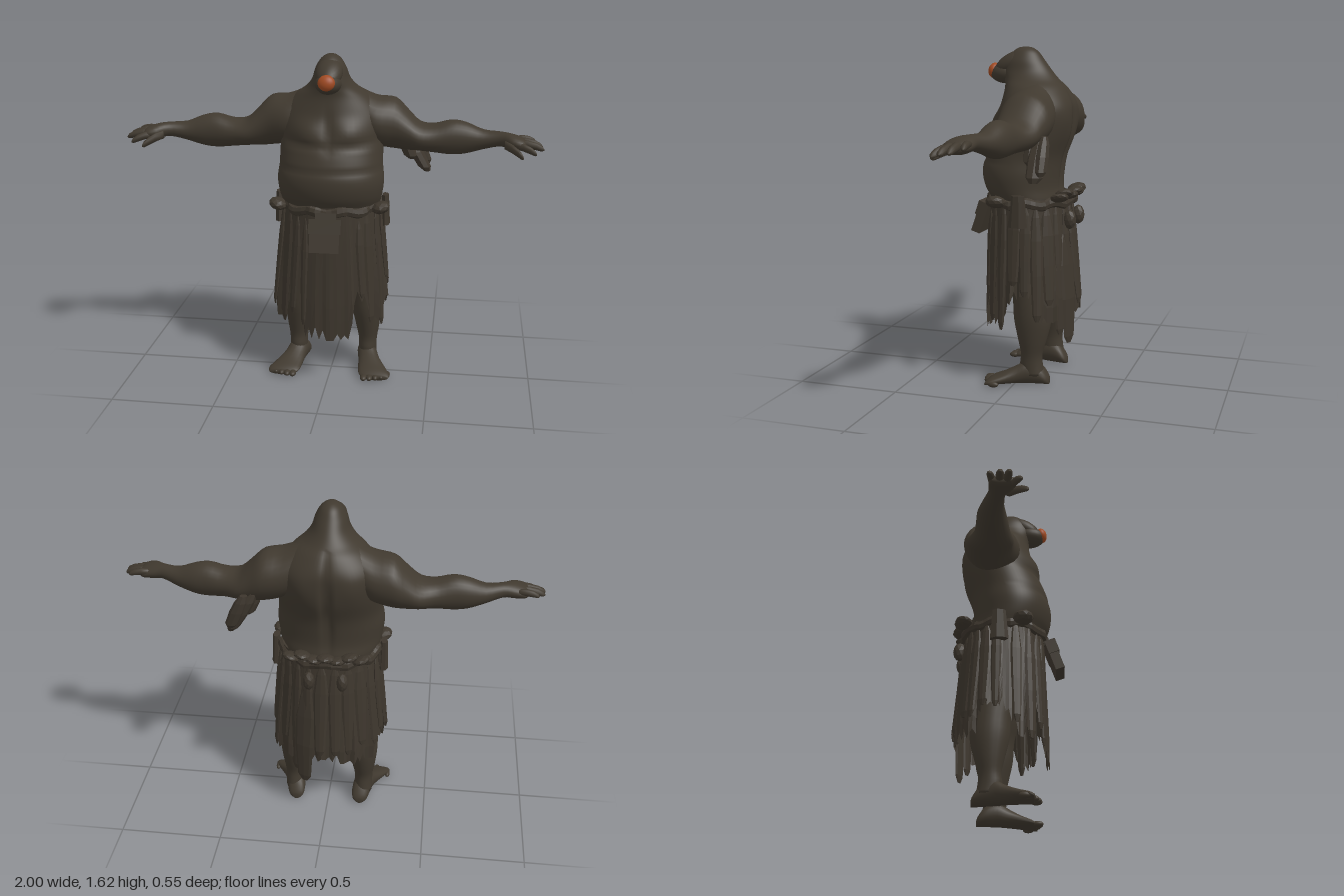
import * as THREE from 'three';

const mat = (name, color, extra = {}) => Object.assign(new THREE.MeshStandardMaterial({ color, ...extra }), { name });
const V = (x, y, z) => new THREE.Vector3(x, y, z);
const bump = (d, w) => Math.exp(-((d / w) ** 2));

// Piecewise-linear lookup in [[key, value], ...]
function lookup(table, k) {
  for (let i = 1; i < table.length; i++) {
    const [a, va] = table[i - 1], [b, vb] = table[i];
    if (k <= b) return va + (vb - va) * (k - a) / (b - a);
  }
  return table[table.length - 1][1];
}

// Catmull-Rom refinement of rows of numbers
function refine(rows, n) {
  const out = [];
  for (let i = 0; i < rows.length - 1; i++) {
    const p = [rows[Math.max(0, i - 1)], rows[i], rows[i + 1], rows[Math.min(rows.length - 1, i + 2)]];
    for (let k = 0; k < n; k++) {
      const t = k / n;
      out.push(rows[i].map((_, c) => {
        const [a, b, d, e] = p.map(r => r[c]);
        return 0.5 * (2 * b + (d - a) * t + (2 * a - 5 * b + 4 * d - e) * t * t + (3 * b - a - 3 * d + e) * t ** 3);
      }));
    }
  }
  return [...out, rows[rows.length - 1]];
}

// Skin through closed rings; side = -1 mirrors in x
function loft(name, material, rows, ringPoint, seg = 20, side = 1) {
  const pos = [], idx = [];
  const tri = (a, b, c) => side > 0 ? idx.push(a, b, c) : idx.push(a, c, b);
  for (const row of rows) {
    for (let j = 0; j < seg; j++) {
      const p = ringPoint(row, j / seg * Math.PI * 2);
      pos.push(p.x * side, p.y, p.z);
    }
  }
  for (let i = 0; i < rows.length - 1; i++) {
    for (let j = 0; j < seg; j++) {
      const a = i * seg + j, b = i * seg + (j + 1) % seg;
      tri(a, b, a + seg);
      tri(b, b + seg, a + seg);
    }
  }
  // End caps
  for (const r of [0, rows.length - 1]) {
    const c = [0, 0, 0];
    for (let j = 0; j < seg; j++) for (let k = 0; k < 3; k++) c[k] += pos[(r * seg + j) * 3 + k] / seg;
    const ci = pos.length / 3;
    pos.push(...c);
    for (let j = 0; j < seg; j++) {
      const a = r * seg + j, b = r * seg + (j + 1) % seg;
      r ? tri(a, b, ci) : tri(b, a, ci);
    }
  }
  const g = new THREE.BufferGeometry();
  g.setAttribute('position', new THREE.Float32BufferAttribute(pos, 3));
  g.setIndex(idx);
  g.computeVertexNormals();
  const m = new THREE.Mesh(g, material);
  m.name = name;
  return m;
}

// Ring rules: along y [y, cx, halfWidth, zFront, zBack], along x [x, yTop, yBottom, zFront, zBack], along z [z, cx, halfWidth, yTop]
const ringY = ([y, cx, w, f, b], a) => V(cx + Math.sin(a) * w, y, (f + b) / 2 + Math.cos(a) * (f - b) / 2);
const ringX = ([x, t, u, f, b], a) => V(x, (t + u) / 2 + Math.cos(a) * (t - u) / 2, (f + b) / 2 + Math.sin(a) * (f - b) / 2);
const ringZ = ([z, cx, w, t], a) => V(cx + Math.cos(a) * w, t / 2 + Math.sin(a) * t / 2, z);

export function createModel() {
  const group = new THREE.Group();
  group.name = 'figure';
  const skin = mat('skin', 0x40392f);
  const cloth = mat('cloth', 0x3d362d, { flatShading: true, side: THREE.DoubleSide });
  const noseMat = mat('nose orange', 0xa04a22);
  let seed = 11;
  const rnd = () => (seed = (seed * 16807) % 2147483647) / 2147483647;
  const add = (name, geo, m, p, s = [1, 1, 1], r = [0, 0, 0]) => {
    const o = new THREE.Mesh(geo, m);
    o.name = name;
    o.position.set(...p); o.scale.set(...s); o.rotation.set(...r);
    group.add(o);
  };

  // Torso, neck and head in one skin
  const torso = [
    [0.82, 0, 0.21, 0.14, -0.18], [0.89, 0, 0.235, 0.165, -0.18], [0.95, 0, 0.25, 0.198, -0.17],
    [1.02, 0, 0.258, 0.212, -0.175], [1.1, 0, 0.25, 0.2, -0.19], [1.2, 0, 0.25, 0.165, -0.225],
    [1.3, 0, 0.255, 0.13, -0.235], [1.36, 0, 0.23, 0.115, -0.228], [1.42, 0, 0.175, 0.105, -0.195],
    [1.46, 0, 0.122, 0.11, -0.155], [1.5, 0, 0.09, 0.12, -0.122], [1.55, 0, 0.073, 0.11, -0.085],
    [1.59, 0, 0.05, 0.075, -0.055], [1.61, 0, 0.025, 0.045, -0.025], [1.615, 0, 0.006, 0.02, 0]];
  group.add(loft('torsoAndHead', skin, refine(torso, 5), (row, a) => {
    const p = ringY(row, a);
    if (row[0] > 1.45) return p;
    const x = Math.abs(p.x), y = p.y;
    if (p.z > 0) {
      p.z += 0.02 * bump(x - 0.1, 0.07) * bump(y - 1.265, 0.05); // chest
      p.z -= 0.014 * bump(x, 0.02) * bump(y - 1.27, 0.08);
      p.z -= 0.012 * bump(y - 1.19 - x * 0.1, 0.014);            // fold under the chest
      p.z -= 0.007 * bump(y - 1.08, 0.012);                      // belly fold
    } else {
      p.z += 0.035 * bump(x, 0.016) * bump(y - 1.16, 0.22);      // spine groove
      p.z -= 0.012 * bump(x - 0.12, 0.06) * bump(y - 1.28, 0.08);
    }
    return p;
  }, 64));

  // Snout and nose
  const ball = new THREE.SphereGeometry(1, 24, 16);
  add('brow', ball, skin, [0, 1.537, 0.075], [0.064, 0.05, 0.1], [0.5, 0, 0]);
  add('muzzle', ball, skin, [0, 1.49, 0.105], [0.062, 0.051, 0.083]);
  add('nose', ball, noseMat, [0, 1.502, 0.17], [0.04, 0.037, 0.028], [-0.25, 0, 0]);

  // Arms, hands, legs and feet
  const arm = [
    [0.04, 1.475, 1.3, 0.02, -0.13], [0.1, 1.462, 1.25, 0.035, -0.16], [0.16, 1.432, 1.2, 0.055, -0.185],
    [0.22, 1.41, 1.17, 0.065, -0.2], [0.3, 1.4, 1.155, 0.045, -0.205],
    [0.36, 1.345, 1.15, 0.04, -0.19], [0.42, 1.29, 1.15, 0.042, -0.175], [0.49, 1.285, 1.145, 0.03, -0.14],
    [0.57, 1.305, 1.138, 0.022, -0.125], [0.64, 1.295, 1.145, 0.016, -0.115], [0.72, 1.265, 1.17, 0.012, -0.09],
    [0.8, 1.262, 1.192, 0.025, -0.055], [0.85, 1.258, 1.185, 0.065, -0.05], [0.9, 1.243, 1.185, 0.075, -0.045],
    [0.92, 1.225, 1.2, 0.05, -0.03]];
  const leg = [
    [0.05, 0.18, 0.045, -0.03, -0.14], [0.1, 0.18, 0.045, -0.02, -0.132], [0.15, 0.18, 0.047, -0.025, -0.13],
    [0.22, 0.178, 0.06, -0.01, -0.15], [0.32, 0.172, 0.076, 0.012, -0.172], [0.42, 0.165, 0.08, 0.02, -0.165],
    [0.55, 0.145, 0.09, 0.05, -0.165], [0.85, 0.12, 0.1, 0.08, -0.17]];
  const foot = [
    [-0.162, 0.165, 0.015, 0.03], [-0.15, 0.166, 0.036, 0.055], [-0.115, 0.17, 0.046, 0.1], [-0.06, 0.18, 0.05, 0.12],
    [-0.01, 0.194, 0.055, 0.09], [0.05, 0.214, 0.07, 0.06], [0.1, 0.23, 0.078, 0.04], [0.125, 0.237, 0.064, 0.025]];
  const fingers = [
    [0.87, 1.225, -0.03, 0.965, 1.215, -0.04, 0.016], [0.88, 1.222, 0, 0.995, 1.2, 0.008, 0.018],
    [0.88, 1.218, 0.03, 1, 1.195, 0.048, 0.018], [0.87, 1.212, 0.05, 0.965, 1.182, 0.095, 0.018],
    [0.82, 1.21, 0.04, 0.905, 1.168, 0.12, 0.02]];
  for (const s of [1, -1]) {
    const n = s > 0 ? 'left' : 'right';
    group.add(loft(n + 'Arm', skin, refine(arm, 3), ringX, 28, s));
    for (const [x0, y0, z0, x1, y1, z1, r] of fingers) {
      const rows = [[0, 1], [0.35, 1.05], [0.7, 0.95], [0.92, 0.7], [1, 0.2]].map(([t, k]) => {
        const y = y0 + (y1 - y0) * t + 0.03 * t * (1 - t), z = z0 + (z1 - z0) * t;
        return [x0 + (x1 - x0) * t, y + r * k, y - r * k, z + r * k, z - r * k];
      });
      group.add(loft(n + 'Finger', skin, rows, ringX, 10, s));
    }
    group.add(loft(n + 'Leg', skin, refine(leg, 3), ringY, 24, s));
    group.add(loft(n + 'Foot', skin, refine(foot, 3), ringZ, 20, s));
    for (let i = 0; i < 5; i++) {
      add(n + 'Toe', ball, skin, [s * (0.18 + i * 0.029), 0.014, 0.13 - i * i * 0.003], [0.017 - i * 0.001, 0.014, 0.027]);
    }
  }

  // Ragged skirt: hem height by angle from the front
  const hem = [[0, 0.23], [24, 0.24], [29, 0.42], [42, 0.43], [50, 0.3], [70, 0.3], [78, 0.4], [100, 0.46],
    [112, 0.42], [120, 0.32], [150, 0.31], [180, 0.34]];
  const skirtPoint = (a, y, out = 0) => {
    const t = Math.min(1, Math.max(0, (0.9 - y) / 0.5));
    const c = Math.cos(a), calm = c > 0.92 ? 0.35 : 1; // smoother front panel
    const r = 1 + t * calm * (0.03 * Math.sin(a * 19) + 0.02 * Math.sin(a * 31 + 1));
    const d = c > 0 ? 0.205 + 0.015 * t : 0.18 + 0.045 * t;
    return V(Math.sin(a) * ((0.235 + 0.045 * t) * r + out), y, -0.03 + c * (d * r + out));
  };
  const cols = 96, steps = 8, pos = [], idx = [];
  for (let j = 0; j < cols; j++) {
    const a = j / cols * Math.PI * 2, deg = Math.abs(((a * 180 / Math.PI + 180) % 360) - 180);
    const low = lookup(hem, deg) + (j % 2 ? 0.07 * rnd() : 0);
    for (let i = 0; i <= steps; i++) {
      const p = skirtPoint(a, 0.91 + (low - 0.91) * i / steps);
      pos.push(p.x, p.y, p.z);
      if (i < steps) {
        const q = j * (steps + 1) + i, n = ((j + 1) % cols) * (steps + 1) + i;
        idx.push(q, q + 1, n, n, q + 1, n + 1);
      }
    }
  }
  const skirtGeo = new THREE.BufferGeometry();
  skirtGeo.setAttribute('position', new THREE.Float32BufferAttribute(pos, 3));
  skirtGeo.setIndex(idx);
  skirtGeo.computeVertexNormals();
  add('skirt', skirtGeo, cloth, [0, 0, 0]);

  // Loose strips over the skirt: [degrees, half width, top, bottom]
  const strips = [[-50, 0.03, 0.88, 0.3], [-36, 0.026, 0.86, 0.36], [50, 0.028, 0.88, 0.31], [38, 0.022, 0.84, 0.45],
    [-70, 0.025, 0.9, 0.36], [68, 0.025, 0.9, 0.28], [158, 0.05, 0.75, 0.2], [146, 0.035, 0.7, 0.25], [-25, 0.018, 0.85, 0.3]];
  for (let d = 85; d < 280; d += 15) strips.push([d, 0.022 + rnd() * 0.012, 0.88, 0.33 + rnd() * 0.09 + (Math.abs(d % 180 - 90) < 25 ? 0.1 : 0)]);
  for (const [deg, w, top, bottom] of strips) {
    const a = deg * Math.PI / 180;
    const rows = [[0, 0.3], [0.06, 0.75], [0.4, 1], [0.7, 1.1], [0.9, 0.7], [1, 0.15]].map(([t, k]) => [bottom + (top - bottom) * t, k]);
    group.add(loft('skirtStrip', cloth, rows, ([y, k], b) => {
      const p = skirtPoint(a, y, 0.004);
      const u = Math.sin(b) * w * k, v = Math.cos(b) * 0.011 * k;
      return V(p.x + Math.cos(a) * u + Math.sin(a) * v, y, p.z - Math.sin(a) * u + Math.cos(a) * v);
    }, 8));
  }

  // Rolled belt with knots, tails and bunched cloth
  const belt = new THREE.TorusGeometry(1, 0.085, 8, 60);
  const bp = belt.attributes.position;
  for (let i = 0; i < bp.count; i++) {
    const a = Math.atan2(bp.getY(i), bp.getX(i)), k = 1 + 0.02 * Math.sin(a * 13) + 0.012 * Math.sin(a * 23);
    bp.setXYZ(i, bp.getX(i) * 0.235 * k, bp.getZ(i) * 0.3 + 0.885 + 0.008 * Math.sin(a * 9), -bp.getY(i) * 0.2 * k - 0.025);
  }
  belt.computeVertexNormals();
  add('belt', belt, cloth, [0, 0, 0]);
  const lump = new THREE.IcosahedronGeometry(1, 1);
  const tail = new THREE.CylinderGeometry(0.7, 1, 1, 7);
  for (const s of [1, -1]) {
    add('beltKnot', lump, cloth, [s * 0.25, 0.895, 0.08], [0.045, 0.03, 0.05], [0, 0, s * 0.3]);
    add('beltTail', tail, cloth, [s * 0.262, 0.855, -0.035], [0.024, 0.15, 0.046]);
    add('backBundle', lump, cloth, [s * 0.08, 0.8, -0.235], [0.028, 0.048, 0.032]);
  }
  for (let i = -3; i <= 3; i++) {
    add('backFold', lump, cloth, [i * 0.055, 0.93 - (i % 2 ? 0.015 : 0), -0.235 + Math.abs(i) * 0.009], [0.044, 0.02, 0.045], [0.2, 0, i * 0.12]);
  }

  // Front pouch with flap, hung from the belt
  const pouch = new THREE.Group();
  pouch.name = 'pouch';
  const box = (name, w, h, d, y, z) => {
    const m = new THREE.Mesh(new THREE.BoxGeometry(w, h, d), cloth);
    m.name = name; m.position.set(0, y, z);
    pouch.add(m);
  };
  box('pouchBody', 0.142, 0.15, 0.045, -0.004, 0);
  box('pouchFlap', 0.154, 0.07, 0.054, 0.045, 0.002);
  box('pouchLoop', 0.1, 0.04, 0.03, 0.09, -0.012);
  pouch.position.set(0, 0.785, 0.226);
  pouch.rotation.x = -0.33;
  group.add(pouch);

  // Rag hanging from the left upper arm
  for (const [x0, x1, low, z, w] of [[0.34, 0.455, 1.02, -0.17, 0.045], [0.38, 0.45, 1.05, -0.2, 0.03], [0.33, 0.38, 1.09, -0.13, 0.035]]) {
    const rows = [[0, 0.45], [0.12, 0.9], [0.5, 1], [0.8, 0.85], [1, 0.5]].map(([t, k]) => [low + (1.22 - low) * t, x1 + (x0 - x1) * t, 0.036 * k, z + w * k, z - w * k]);
    group.add(loft('armRag', cloth, rows, ringY, 8));
  }
  return group;
}
